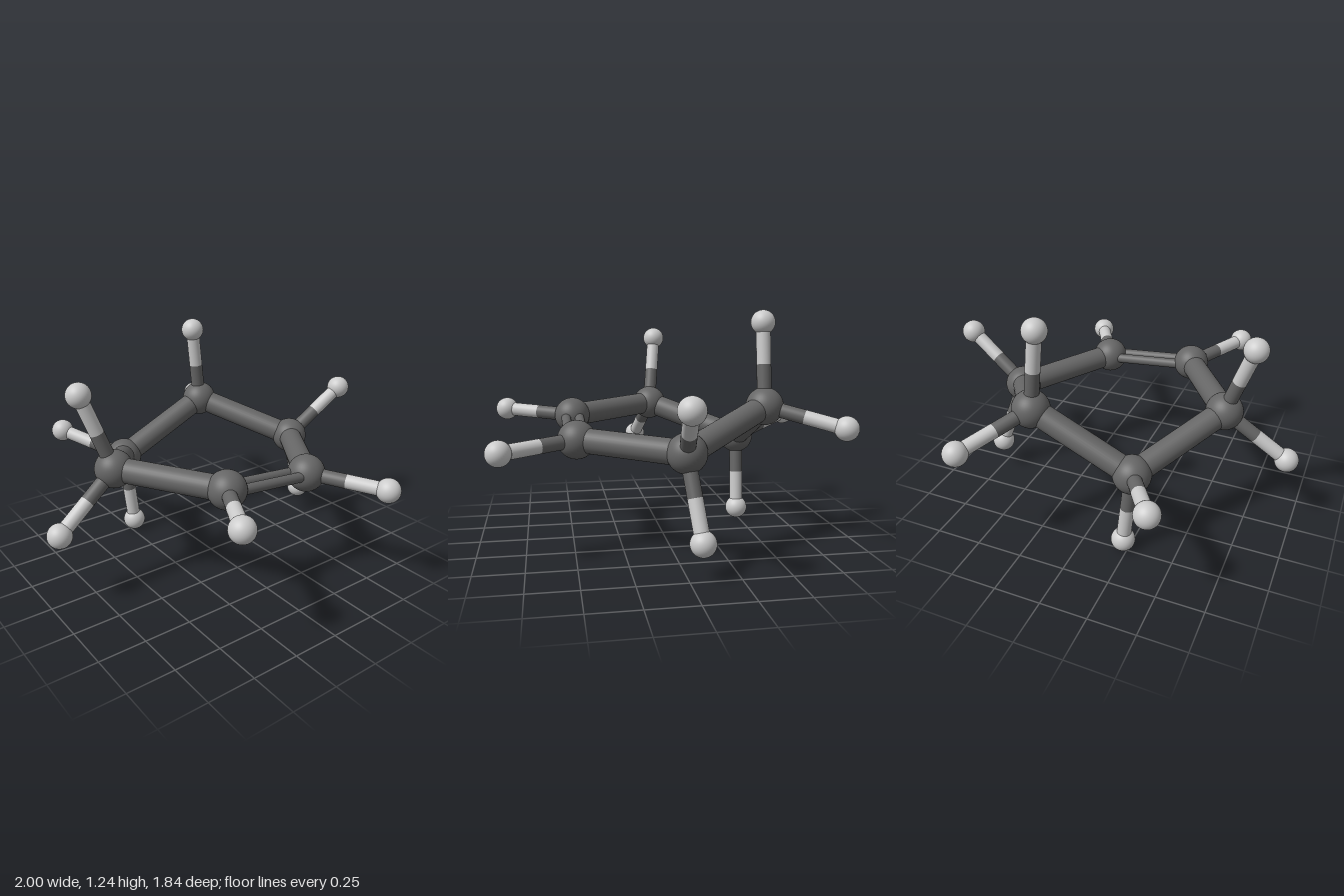
import * as THREE from 'three';

const UP = new THREE.Vector3(0, 1, 0);
const MID_Y = 0.625;

export function createModel() {
  const model = new THREE.Group();
  model.name = 'ringMolecule';
  const dark = new THREE.MeshStandardMaterial({ color: 0x666666 });
  const light = new THREE.MeshStandardMaterial({ color: 0xcccccc });

  function ball(name, position, radius, material) {
    const mesh = new THREE.Mesh(new THREE.SphereGeometry(radius, 40, 24), material);
    mesh.name = name;
    mesh.position.copy(position);
    model.add(mesh);
  }

  function rod(name, a, b, radius, material) {
    const dir = b.clone().sub(a);
    const mesh = new THREE.Mesh(new THREE.CylinderGeometry(radius, radius, dir.length(), 32), material);
    mesh.name = name;
    mesh.position.copy(a).lerp(b, 0.5);
    mesh.quaternion.setFromUnitVectors(UP, dir.normalize());
    model.add(mesh);
  }

  // One half of the ring: each carbon with its hydrogens, as [x, height from the middle, z]
  const half = [
    { at: [0.26, -0.025, 0.483], hydrogens: [[0.467, -0.043, 0.857]] },
    { at: [0.595, -0.045, -0.015], hydrogens: [[0.935, 0.205, 0.035], [0.735, -0.443, -0.065]] },
    { at: [0.272, 0.125, -0.493], hydrogens: [[0.225, 0.557, -0.49], [0.485, 0.03, -0.857]] },
  ];

  // The other half is the same, turned 180 degrees about the z axis
  const ends = [1, -1].map((s) => {
    const side = s > 0 ? 'left' : 'right';
    const place = ([x, y, z]) => new THREE.Vector3(s * x, MID_Y + s * y, z);
    const carbons = half.map((c) => place(c.at));

    half.forEach((c, i) => {
      ball(side + 'Carbon' + (i + 1), carbons[i], 0.099, dark);
      if (i > 0) rod(side + 'RingBond' + i, carbons[i - 1], carbons[i], 0.064, dark);

      // Two-tone bonds out to the hydrogens
      c.hydrogens.forEach((h, j) => {
        const id = `${i + 1}${'ab'[j]}`;
        const tip = place(h);
        const middle = carbons[i].clone().lerp(tip, 0.5);
        ball(side + 'Hydrogen' + id, tip, 0.064, light);
        rod(side + 'InnerBond' + id, carbons[i], middle, 0.038, dark);
        rod(side + 'OuterBond' + id, middle, tip, 0.038, light);
      });
    });
    return carbons;
  });

  // Single bond across the back, double bond across the front
  rod('backRingBond', ends[0][2], ends[1][2], 0.064, dark);
  for (const dz of [0.037, -0.037]) {
    const shift = new THREE.Vector3(0, 0, dz);
    rod(dz > 0 ? 'doubleBondFront' : 'doubleBondBack',
      ends[0][0].clone().add(shift), ends[1][0].clone().add(shift), 0.027, dark);
  }
  return model;
}
